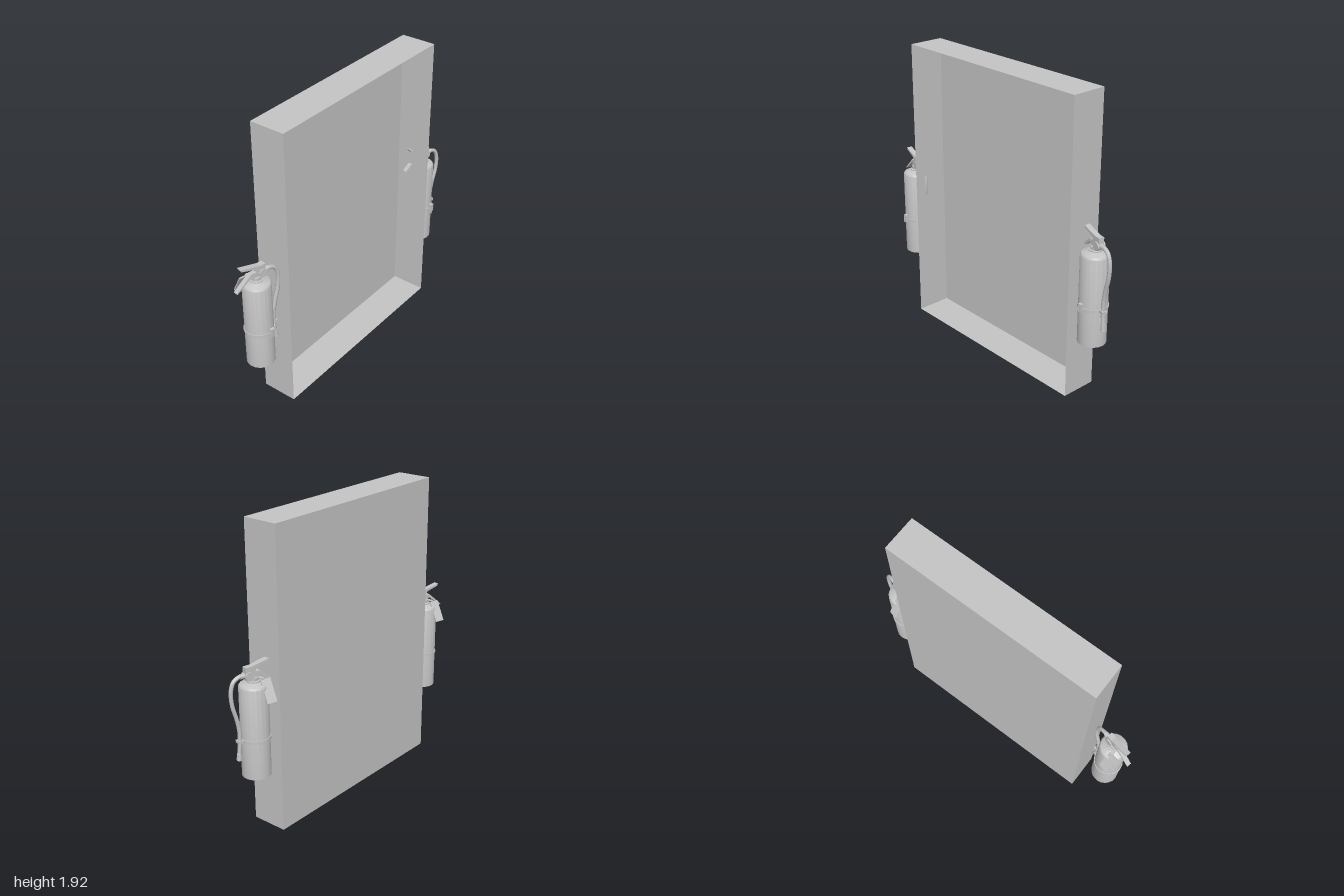
import * as THREE from 'three';
import { toCreasedNormals } from 'three/addons/utils/BufferGeometryUtils.js';

const grey = new THREE.MeshStandardMaterial({ color: 0xc4c4c4, side: THREE.DoubleSide });
grey.name = 'paleGrey';

const TWIST = -0.24; // turn of the valve and hose about the bottle's axis

function add(parent, name, geometry, x = 0, y = 0, z = 0) {
  const mesh = new THREE.Mesh(geometry, grey);
  mesh.name = name;
  mesh.position.set(x, y, z);
  parent.add(mesh);
  return mesh;
}

const lathe = (points, sides = 20) => toCreasedNormals(
  new THREE.LatheGeometry(points.map(([r, y]) => new THREE.Vector2(r, y)), sides), 0.6);

// Side profile given as [z, y], extruded across x and centred
function sidePlate(points, width) {
  const shape = new THREE.Shape(points.map(([z, y]) => new THREE.Vector2(z, y)));
  const geometry = new THREE.ExtrudeGeometry(shape, { depth: width, bevelEnabled: false });
  return geometry.translate(0, 0, -width / 2).rotateY(-Math.PI / 2);
}

function createExtinguisher() {
  const group = new THREE.Group();

  // Bottle with its neck
  add(group, 'bottle', lathe([
    [0, 0.395], [0.089, 0.395], [0.089, 0.97], [0.082, 0.981], [0.04, 0.997],
    [0.04, 1.004], [0.03, 1.006], [0.03, 1.025], [0, 1.025],
  ]));

  // Strap and its buckle
  add(group, 'strap', lathe([
    [0.088, 0.632], [0.094, 0.632], [0.094, 0.65], [0.088, 0.65],
  ]));
  add(group, 'buckle', new THREE.BoxGeometry(0.02, 0.055, 0.026), 0.105, 0.655, 0);
  add(group, 'buckleBase', new THREE.BoxGeometry(0.03, 0.018, 0.03), 0.1, 0.641, 0);

  // Hanging tag and the arm that holds it
  const tagGroup = new THREE.Group();
  tagGroup.name = 'tagGroup';
  tagGroup.rotation.y = TWIST;
  group.add(tagGroup);
  const tag = add(tagGroup, 'tag', new THREE.BoxGeometry(0.008, 0.145, 0.066), -0.083, 0.952, 0.05);
  tag.rotation.z = -0.5;
  const arm = add(tagGroup, 'tagArm', new THREE.BoxGeometry(0.06, 0.008, 0.02), -0.025, 1.02, 0.028);
  arm.rotation.y = 0.3;

  // Valve, levers and hose share one turned group
  const head = new THREE.Group();
  head.name = 'valveHead';
  head.rotation.y = TWIST;
  group.add(head);
  add(head, 'squeezeLever', sidePlate([
    [0.113, 1.123], [-0.019, 1.096], [-0.057, 1.096], [-0.057, 1.048],
    [-0.003, 1.048], [0.019, 1.085], [0.107, 1.109],
  ], 0.036));
  add(head, 'carryHandle', sidePlate([
    [0.146, 0.968], [0.04, 1.059], [-0.057, 1.059], [-0.057, 1.018],
    [0.024, 1.018], [0.036, 1.04], [0.14, 0.962],
  ], 0.03));
  add(head, 'gauge',
    toCreasedNormals(new THREE.CylinderGeometry(0.028, 0.028, 0.052, 14).rotateZ(Math.PI / 2), 0.6),
    0, 1.04, -0.035);

  const hosePath = new THREE.CatmullRomCurve3([
    [-0.05, 1.045], [-0.09, 1.046], [-0.13, 1.025], [-0.15, 0.97],
    [-0.146, 0.88], [-0.122, 0.79], [-0.107, 0.71], [-0.107, 0.62], [-0.113, 0.56],
  ].map(([z, y]) => new THREE.Vector3(0, y, z)));
  add(head, 'hose', new THREE.TubeGeometry(hosePath, 32, 0.013, 8));
  add(head, 'hoseCollar',
    toCreasedNormals(new THREE.CylinderGeometry(0.016, 0.016, 0.03, 10).rotateX(Math.PI / 2), 0.6),
    0, 1.045, -0.07);
  add(head, 'nozzle',
    toCreasedNormals(new THREE.CylinderGeometry(0.014, 0.017, 0.045, 10), 0.6),
    0, 0.543, -0.114);
  add(head, 'hoseClip', new THREE.BoxGeometry(0.034, 0.018, 0.04), 0, 0.641, -0.104);
  return group;
}

export function createModel() {
  const model = new THREE.Group();
  model.name = 'wallWithExtinguishers';

  // Hollow wall, open on its +x side (first six indices of the box)
  const wall = new THREE.BoxGeometry(0.235, 1.925, 1.444);
  wall.setIndex(Array.from(wall.index.array).slice(6));
  wall.clearGroups();
  add(model, 'wall', wall, 0.0075, 0.9625, -0.02);

  // One extinguisher at each end
  [['frontExtinguisher', 0.853], ['backExtinguisher', -0.835]].forEach(([name, z]) => {
    const extinguisher = createExtinguisher();
    extinguisher.name = name;
    extinguisher.position.set(0.008, 0, z);
    model.add(extinguisher);
  });
  return model;
}
